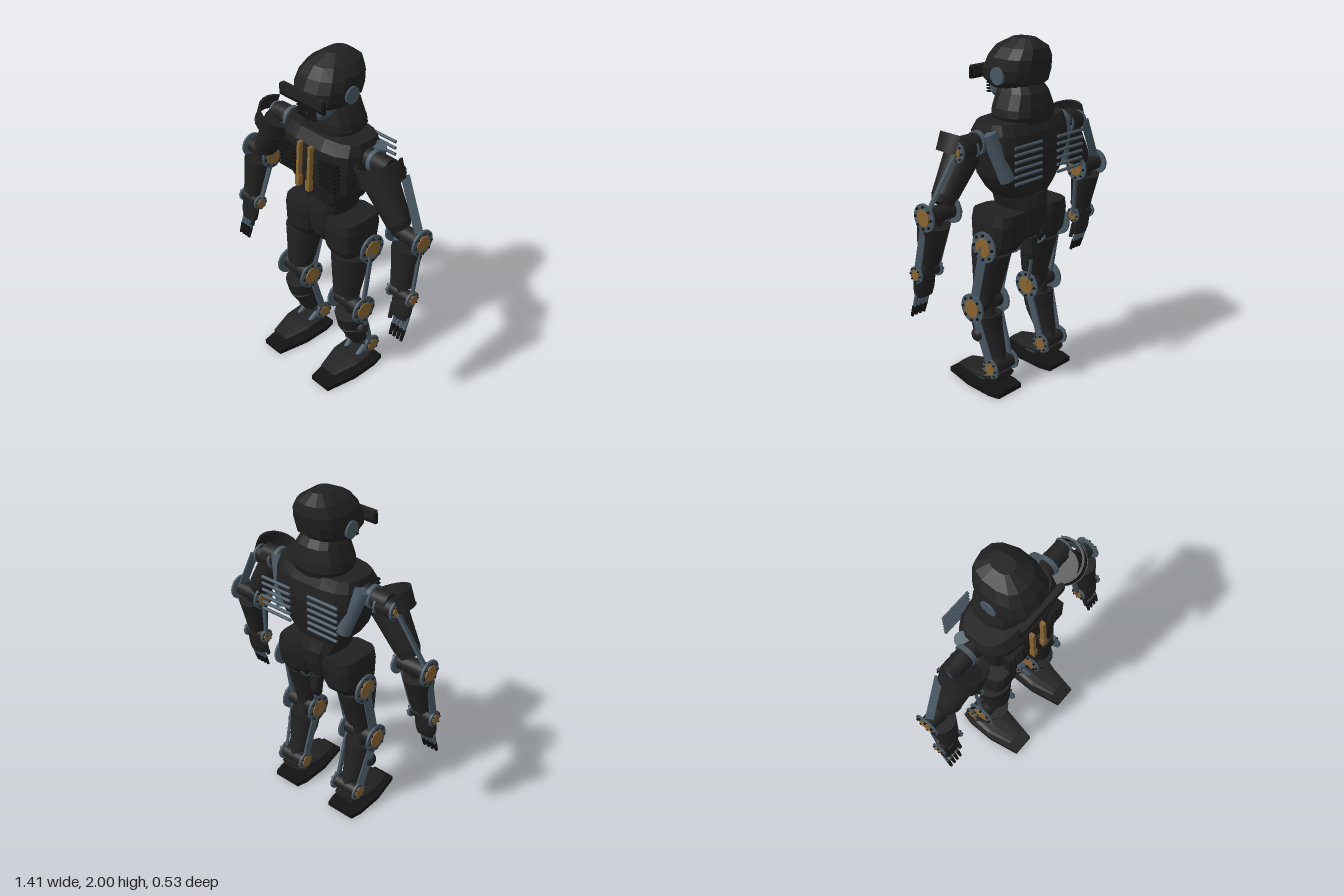
import * as THREE from 'three';

const mat = (name, color) => {
  const m = new THREE.MeshStandardMaterial({ color });
  m.name = name;
  return m;
};
const V = (x, y, z) => new THREE.Vector3(x, y, z);
const UP = V(0, 1, 0);

// Faceted body through rings of [height, half width, front z, back z]
function loftGeometry(rings, n = 14, power = 0.8) {
  const pos = [], idx = [];
  const bend = (v) => Math.sign(v) * Math.abs(v) ** power;
  for (const [y, hx, zf, zb] of rings) {
    for (let i = 0; i < n; i++) {
      const a = ((i + 0.5) / n) * Math.PI * 2;
      pos.push(hx * bend(Math.cos(a)), y, (zf + zb) / 2 + ((zf - zb) / 2) * bend(Math.sin(a)));
    }
  }
  const last = rings.length - 1, c = rings.length * n;
  for (const r of [rings[0], rings[last]]) pos.push(0, r[0], (r[2] + r[3]) / 2);
  for (let i = 0; i < n; i++) {
    const k = (i + 1) % n;
    for (let j = 0; j < last; j++) {
      const a = j * n, b = a + n;
      idx.push(a + i, b + i, b + k, a + i, b + k, a + k);
    }
    idx.push(c, i, k, c + 1, last * n + k, last * n + i);
  }
  const g = new THREE.BufferGeometry();
  g.setAttribute('position', new THREE.Float32BufferAttribute(pos, 3));
  g.setIndex(idx);
  const flat = g.toNonIndexed();
  flat.computeVertexNormals();
  return flat;
}

export function createModel() {
  const root = new THREE.Group();
  root.name = 'robot';
  const dark = mat('charcoal armour', 0x212121);
  const black = mat('black trim', 0x131313);
  const steel = mat('blue grey steel', 0x485864);
  const gold = mat('bronze', 0x8a642f);
  const shellDark = mat('charcoal open shell', 0x212121);
  shellDark.side = THREE.DoubleSide;

  const add = (name, geo, m, p = V(0, 0, 0), parent = root) => {
    const mesh = new THREE.Mesh(geo, m);
    mesh.name = name;
    mesh.position.copy(p);
    parent.add(mesh);
    return mesh;
  };
  // Part stretched between two points
  const along = (name, geo, m, p, q) => {
    const mesh = add(name, geo, m, p.clone().add(q).multiplyScalar(0.5));
    mesh.quaternion.setFromUnitVectors(UP, q.clone().sub(p).normalize());
    return mesh;
  };
  const tube = (name, p, q, r0, r1, m, n = 16) =>
    along(name, new THREE.CylinderGeometry(r1, r0, p.distanceTo(q), n), m, p, q);
  const bar = (name, p, q, w, d, m) =>
    along(name, new THREE.BoxGeometry(w, p.distanceTo(q), d), m, p, q);
  // Hinge along x: barrel, end discs, bronze hubs and bolts
  const joint = (name, c, half, barrelR, discR) => {
    const g = new THREE.Group();
    g.name = name;
    g.position.copy(c);
    root.add(g);
    const xCyl = (r, len, n = 20) => new THREE.CylinderGeometry(r, r, len, n).rotateZ(Math.PI / 2);
    add('barrel', xCyl(barrelR, half * 2 - 0.02), dark, V(0, 0, 0), g);
    for (const e of [-1, 1]) {
      add('disc', xCyl(discR, 0.012), steel, V(e * (half - 0.008), 0, 0), g);
      add('hub', xCyl(discR * 0.6, 0.008), gold, V(e * (half + 0.001), 0, 0), g);
      for (let i = 0; i < 8; i++) {
        const a = (i / 8) * Math.PI * 2, r = discR * 0.8;
        add('bolt', xCyl(discR * 0.09, 0.014, 6), black, V(e * half, Math.cos(a) * r, Math.sin(a) * r), g);
      }
    }
  };
  // Pair of struts beside a limb, running from hinge to hinge
  const struts = (name, p, q, h0, h1, w) => {
    for (const e of [-1, 1])
      bar(name, p.clone().add(V(e * h0, 0, 0)), q.clone().add(V(e * h1, 0, 0)), 0.014, w, steel);
  };

  // Head and neck
  add('helmet', loftGeometry([
    [1.735, 0.115, 0.12, -0.13], [1.78, 0.15, 0.172, -0.185], [1.84, 0.16, 0.165, -0.2],
    [1.9, 0.15, 0.135, -0.208], [1.955, 0.115, 0.09, -0.2], [2, 0.05, 0.0, -0.135]]), dark);
  add('visor', new THREE.BoxGeometry(0.31, 0.05, 0.03), dark, V(0, 1.815, 0.172));
  add('visorLip', new THREE.BoxGeometry(0.33, 0.06, 0.018), black, V(0, 1.8, 0.172));
  add('jaw', loftGeometry([[1.672, 0.07, 0.125, -0.05], [1.7, 0.09, 0.148, -0.06], [1.75, 0.105, 0.14, -0.08]]), steel);
  for (let i = 0; i < 4; i++)
    add('mouthSlat', new THREE.BoxGeometry(0.13, 0.008, 0.02), black, V(0, 1.69 + i * 0.016, 0.143));
  add('neck', loftGeometry([
    [1.55, 0.15, 0.08, -0.19], [1.6, 0.172, 0.085, -0.208], [1.64, 0.165, 0.085, -0.205],
    [1.72, 0.13, 0.075, -0.19], [1.76, 0.11, 0.06, -0.16]]), dark);

  // Trunk
  add('torso', loftGeometry([
    [1.13, 0.13, 0.08, -0.15], [1.2, 0.2, 0.1, -0.17], [1.28, 0.25, 0.125, -0.195],
    [1.42, 0.275, 0.142, -0.225], [1.52, 0.28, 0.142, -0.21], [1.58, 0.265, 0.1, -0.18]], 16, 0.65), dark);
  add('pelvis', loftGeometry([
    [0.86, 0.05, 0.04, -0.1], [0.92, 0.095, 0.08, -0.155], [1.0, 0.115, 0.095, -0.18],
    [1.09, 0.13, 0.1, -0.19], [1.16, 0.16, 0.09, -0.165]]), dark);
  add('tailNub', loftGeometry([
    [0.765, 0.015, -0.11, -0.145], [0.8, 0.03, -0.1, -0.16], [0.9, 0.04, -0.06, -0.16]], 10), dark);

  for (const s of [-1, 1]) {
    const P = (x, y, z) => V(s * x, y, z);
    add('earDisc', new THREE.CylinderGeometry(0.047, 0.047, 0.03, 16).rotateZ(Math.PI / 2), steel, P(0.15, 1.81, -0.025));

    // Chest bars, vents and back fins
    bar('chestBar', P(0.042, 1.27, 0.172), P(0.042, 1.53, 0.155), 0.02, 0.026, gold);
    bar('chestBarFoot', P(0.04, 1.27, 0.172), P(0.04, 1.33, 0.168), 0.03, 0.03, gold);
    for (let i = 0; i < 7; i++)
      add('chestVent', new THREE.BoxGeometry(0.12, 0.011, 0.045), black, P(0.155, 1.325 + i * 0.024, 0.132));
    for (let i = 0; i < 6; i++)
      tube('backFin', P(0.062, 1.293 + i * 0.039, -0.258), P(0.26, 1.293 + i * 0.039, -0.258), 0.009, 0.009, steel, 8);
    tube('backCylinder', P(0.21, 1.28, -0.15), P(0.29, 1.54, -0.095), 0.042, 0.042, steel);

    // Shoulder
    tube('shoulderAxle', P(0.22, 1.49, -0.04), P(0.43, 1.49, -0.04), 0.055, 0.055, dark);
    tube('shoulderCollar', P(0.31, 1.49, -0.04), P(0.335, 1.49, -0.04), 0.065, 0.065, steel);
    joint('shoulderHinge', P(0.42, 1.47, -0.05), 0.06, 0.05, 0.055);
    const pad = new THREE.Group();
    pad.name = 'shoulderPad';
    pad.position.copy(P(0.395, 1.475, 0));
    pad.rotation.z = s * 0.4;
    root.add(pad);
    const arc = Math.PI * 1.15, start = s * 0.4 - arc / 2;
    for (const [r, h, y] of [[0.128, 0.1, 0], [0.118, 0.1, 0]])
      add('padShell', new THREE.CylinderGeometry(r, r * 0.97, h, 12, 1, true, start, arc), shellDark, V(0, y, 0), pad);
    for (const y of [-0.05, 0.05])
      add('padRim', new THREE.RingGeometry(0.115, 0.128, 12, 1, -Math.PI / 2 + start, arc).rotateX(-Math.PI / 2)
        .rotateY(0), shellDark, V(0, y, 0), pad);

    // Arm
    const shoulder = P(0.43, 1.47, -0.07), elbow = P(0.587, 1.165, -0.025), wrist = P(0.622, 0.835, 0.04);
    tube('upperArm', P(0.525, 1.235, -0.005), P(0.385, 1.44, 0.0), 0.07, 0.098, dark);
    tube('upperArmCuff', P(0.548, 1.2, -0.01), P(0.525, 1.235, -0.005), 0.055, 0.071, dark);
    struts('upperArmStrut', shoulder, elbow, 0.07, 0.085, 0.045);
    joint('elbow', elbow, 0.1, 0.045, 0.075);
    tube('forearmCore', elbow, wrist, 0.035, 0.03, dark);
    tube('forearm', P(0.612, 0.89, 0.035), P(0.602, 1.11, -0.005), 0.06, 0.086, dark);
    struts('forearmStrut', elbow, wrist, 0.088, 0.066, 0.036);
    joint('wrist', wrist, 0.078, 0.034, 0.046);

    // Hand
    add('palm', loftGeometry([[0.695, 0.055, 0.085, 0.03], [0.74, 0.062, 0.09, 0.015], [0.825, 0.066, 0.08, 0.005]], 10), dark, P(0.635, 0, 0));
    for (let i = 0; i < 4; i++) {
      const x = 0.607 + i * 0.026;
      tube('finger', P(x, 0.63, 0.08), P(x, 0.71, 0.055), 0.01, 0.012, steel, 8);
      tube('fingerTip', P(x, 0.575, 0.1), P(x, 0.64, 0.078), 0.009, 0.012, black, 8);
    }
    tube('thumb', P(0.585, 0.67, 0.085), P(0.585, 0.76, 0.06), 0.012, 0.016, dark, 8);

    // Hip block and leg
    add('hipBlock', loftGeometry([
      [0.85, 0.085, 0.08, -0.13], [0.9, 0.108, 0.105, -0.165], [1.02, 0.11, 0.112, -0.185], [1.08, 0.1, 0.105, -0.18]], 12, 0.55), dark, P(0.162, 0, 0));
    const hip = P(0.2, 0.9, -0.058), knee = P(0.22, 0.515, 0.018), ankle = P(0.21, 0.16, -0.092);
    joint('hip', hip, 0.107, 0.05, 0.088);
    tube('thighCore', hip, knee, 0.05, 0.045, dark);
    tube('thigh', P(0.195, 0.59, 0.03), P(0.19, 0.845, -0.005), 0.078, 0.115, dark, 20);
    struts('thighStrut', hip, knee, 0.1, 0.095, 0.05);
    joint('knee', knee, 0.11, 0.047, 0.086);
    tube('shinCore', knee, ankle, 0.045, 0.035, dark);
    tube('shin', P(0.212, 0.2, -0.06), P(0.215, 0.36, 0.005), 0.058, 0.085, dark);
    tube('shinTop', P(0.215, 0.36, 0.005), P(0.217, 0.445, 0.02), 0.085, 0.092, dark);
    add('shinKnob', new THREE.SphereGeometry(0.045, 14, 10), dark, P(0.29, 0.35, 0.0));
    struts('shinStrut', knee, ankle, 0.098, 0.078, 0.042);
    joint('ankle', ankle, 0.09, 0.04, 0.058);

    // Foot
    for (const e of [-1, 1]) {
      tube('footStrut', P(0.215 + e * 0.045, 0.06, 0.05), P(0.21 + e * 0.055, 0.16, -0.08), 0.016, 0.018, steel, 10);
      tube('footPin', P(0.215 + e * 0.045, 0.06, 0), P(0.215 + e * 0.045, 0.06, 0.06), 0.018, 0.018, steel, 10);
    }
    const upper = loftGeometry([
      [-0.13, 0.07, -0.08, -0.125], [-0.05, 0.1, -0.075, -0.125],
      [0.05, 0.102, -0.072, -0.11], [0.2, 0.06, -0.068, -0.082]], 12).rotateX(Math.PI / 2);
    add('footUpper', upper, dark, P(0.215, 0, 0));
    const outline = [[-0.09, -0.17], [0.09, -0.17], [0.107, -0.1], [0.107, 0.07], [0.07, 0.263], [-0.07, 0.263], [-0.107, 0.07], [-0.107, -0.1]];
    const sole = new THREE.ExtrudeGeometry(
      new THREE.Shape(outline.map(([x, z]) => new THREE.Vector2(x, z))),
      { depth: 0.028, bevelEnabled: false }).rotateX(Math.PI / 2);
    add('sole', sole, black, P(0.215, 0.028, 0));
  }
  return root;
}
